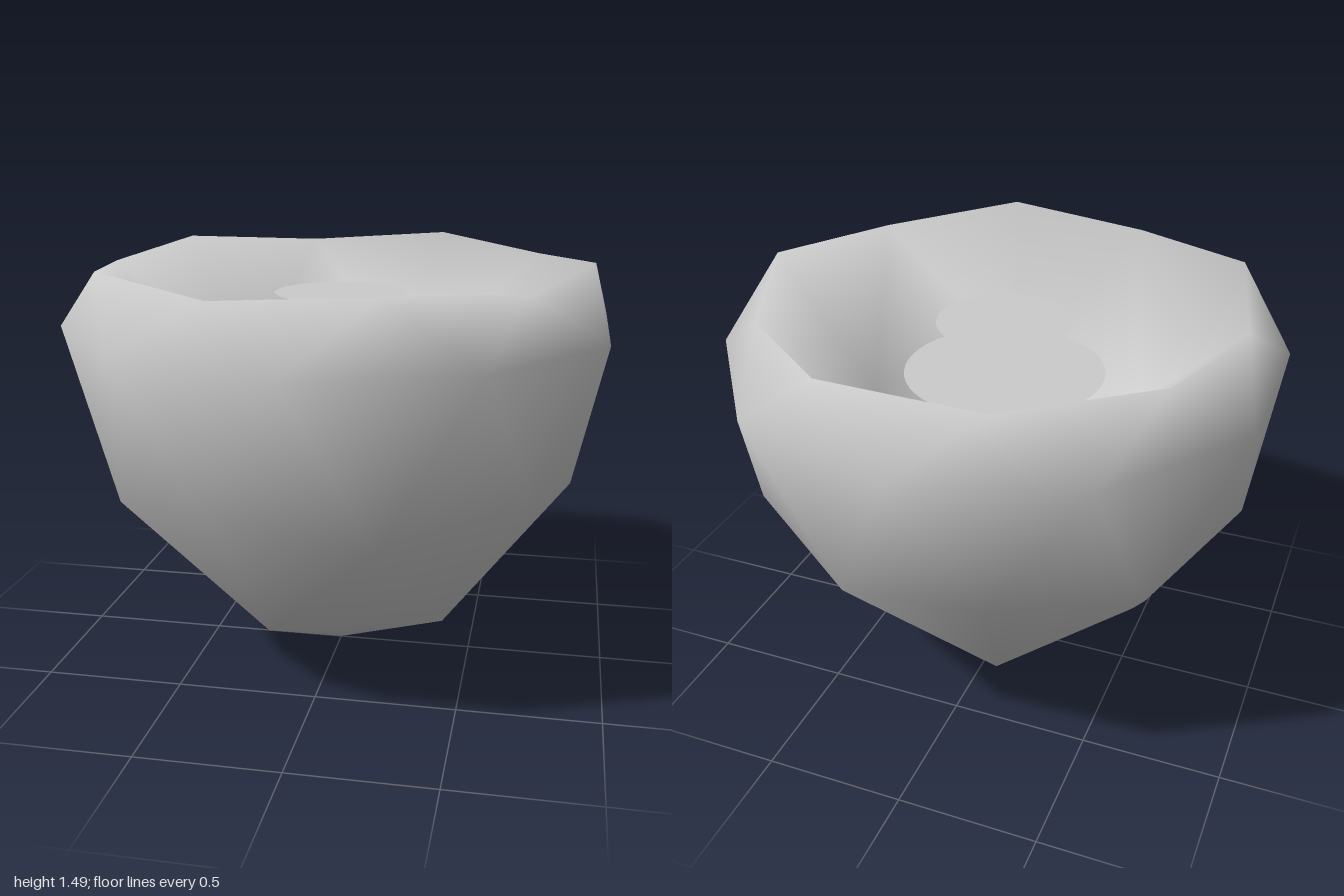
import * as THREE from 'three';
import { mergeVertices } from 'three/addons/utils/BufferGeometryUtils.js';

// Smooth pull: 1 at the pole, fading to 0 at the given reach
function falloff(distance, reach = 1.35) {
  const t = Math.max(0, 1 - distance / reach);
  return t * t * (3 - 2 * t);
}

// Smooth normals, each face weighted by its corner angle
function angleWeightedNormals(g) {
  const p = g.attributes.position;
  const sums = Array.from({ length: p.count }, () => new THREE.Vector3());
  const at = (i) => new THREE.Vector3().fromBufferAttribute(p, i);
  const index = g.index.array;
  for (let f = 0; f < index.length; f += 3) {
    for (let k = 0; k < 3; k++) {
      const corner = index[f + k];
      const a = at(index[f + (k + 1) % 3]).sub(at(corner));
      const b = at(index[f + (k + 2) % 3]).sub(at(corner));
      const normal = new THREE.Vector3().crossVectors(a, b).normalize();
      sums[corner].addScaledVector(normal, a.angleTo(b));
    }
  }
  const normals = sums.flatMap((n) => n.normalize().toArray());
  g.setAttribute('normal', new THREE.Float32BufferAttribute(normals, 3));
}

// Coarse icosphere whose top pole is pushed in to form a hollow
// and whose bottom pole is pulled down to a point
function bowlGeometry() {
  let g = new THREE.IcosahedronGeometry(1, 1);
  g.deleteAttribute('uv');
  g.deleteAttribute('normal');
  g = mergeVertices(g, 1e-3);
  g.rotateZ(-Math.atan2(1, (1 + Math.sqrt(5)) / 2)); // a corner straight up
  const top = new THREE.Vector3(0, 1, 0);
  const bottom = new THREE.Vector3(0, -1, 0);
  const p = g.attributes.position;
  const v = new THREE.Vector3();
  for (let i = 0; i < p.count; i++) {
    v.fromBufferAttribute(p, i);
    const drop = 1.76 * falloff(v.distanceTo(top)) + 0.265 * falloff(v.distanceTo(bottom));
    p.setY(i, v.y - drop + 1.265);
  }
  angleWeightedNormals(g);
  return g;
}

export function createModel() {
  const model = new THREE.Group();
  model.name = 'bowl';

  const shell = new THREE.Mesh(
    bowlGeometry(),
    new THREE.MeshStandardMaterial({ color: 0xcccccc })
  );
  shell.name = 'bowlShell';
  model.add(shell);

  // Flat discs stacked in the hollow; the lowest meets the wall
  const discMaterial = new THREE.MeshStandardMaterial({ color: 0xcccccc, side: THREE.DoubleSide });
  const discs = [
    ['lowerDisc', 0.54, 0.86],
    ['middleDisc', 0.36, 1.175],
    ['upperDisc', 0.24, 1.365],
  ];
  for (const [name, radius, y] of discs) {
    const disc = new THREE.Mesh(new THREE.CircleGeometry(radius, 48).rotateX(-Math.PI / 2), discMaterial);
    disc.name = name;
    disc.position.y = y;
    model.add(disc);
  }
  return model;
}
